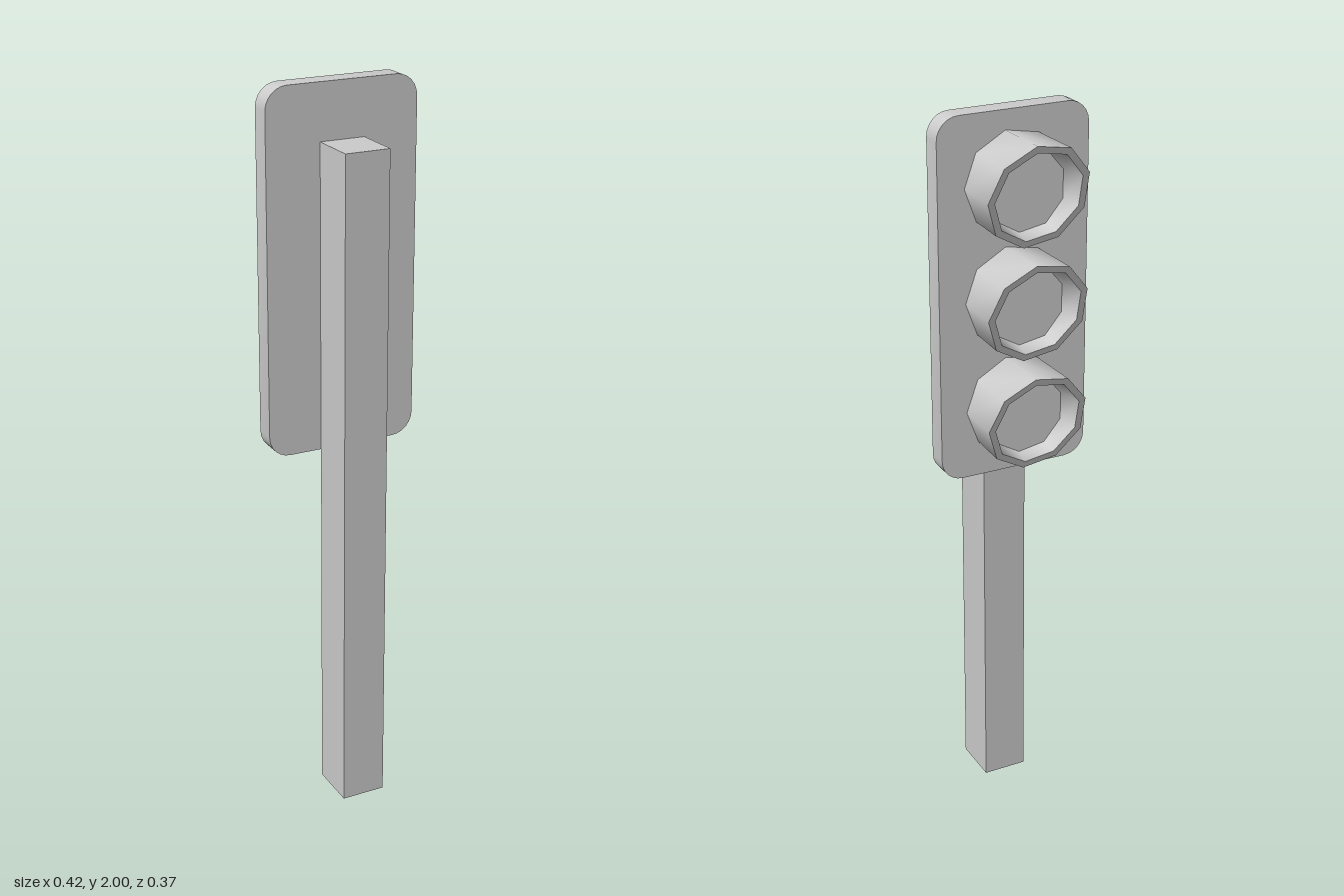
import * as THREE from 'three';
import { toCreasedNormals } from 'three/addons/utils/BufferGeometryUtils.js';

const material = new THREE.MeshStandardMaterial({ color: 0xcccccc });
const BACK = -0.013, FRONT = 0.045; // depth range of the backing plate

function part(name, geometry) {
  const mesh = new THREE.Mesh(geometry, material);
  mesh.name = name;
  return mesh;
}

// Upright plate with rounded corners
function plateGeometry(w, h, r) {
  const x = w / 2, y = h / 2;
  const s = new THREE.Shape();
  s.moveTo(-x + r, -y);
  s.lineTo(x - r, -y);
  s.absarc(x - r, -y + r, r, -Math.PI / 2, 0);
  s.absarc(x - r, y - r, r, 0, Math.PI / 2);
  s.absarc(-x + r, y - r, r, Math.PI / 2, Math.PI);
  s.absarc(-x + r, -y + r, r, Math.PI, Math.PI * 1.5);
  const g = new THREE.ExtrudeGeometry(s, { depth: FRONT - BACK, bevelEnabled: false, curveSegments: 3 });
  return toCreasedNormals(g, 0.7);
}

// Nine-sided hood with a recessed lens; its open end is cut at a slant
function hoodGeometry() {
  const tip = 0.15;
  const profile = [[0.138, -BACK], [0.141, tip], [0.122, tip], [0.11, 0.08], [0, 0.08]]
    .map(([r, d]) => new THREE.Vector2(r, d));
  const g = new THREE.LatheGeometry(profile, 9, THREE.MathUtils.degToRad(10));
  g.rotateX(-Math.PI / 2);
  const p = g.attributes.position;
  for (let i = 0; i < p.count; i++) {
    if (p.getZ(i) < -tip + 0.001) p.setZ(i, -tip - 0.25 * p.getY(i));
  }
  return toCreasedNormals(g, 0.87);
}

export function createModel() {
  const model = new THREE.Group();
  model.name = 'trafficLight';

  const post = part('post', new THREE.BoxGeometry(0.124, 1.85, 0.138));
  post.position.set(0, 0.925, 0.114);

  const plate = part('backingPlate', plateGeometry(0.424, 0.98, 0.06));
  plate.position.set(0, 1.51, BACK);
  model.add(post, plate);

  // Three lamps, bottom to top
  const hood = hoodGeometry();
  ['lowerLamp', 'middleLamp', 'upperLamp'].forEach((name, i) => {
    const lamp = part(name, hood);
    lamp.position.y = 1.206 + i * 0.303;
    model.add(lamp);
  });
  return model;
}
